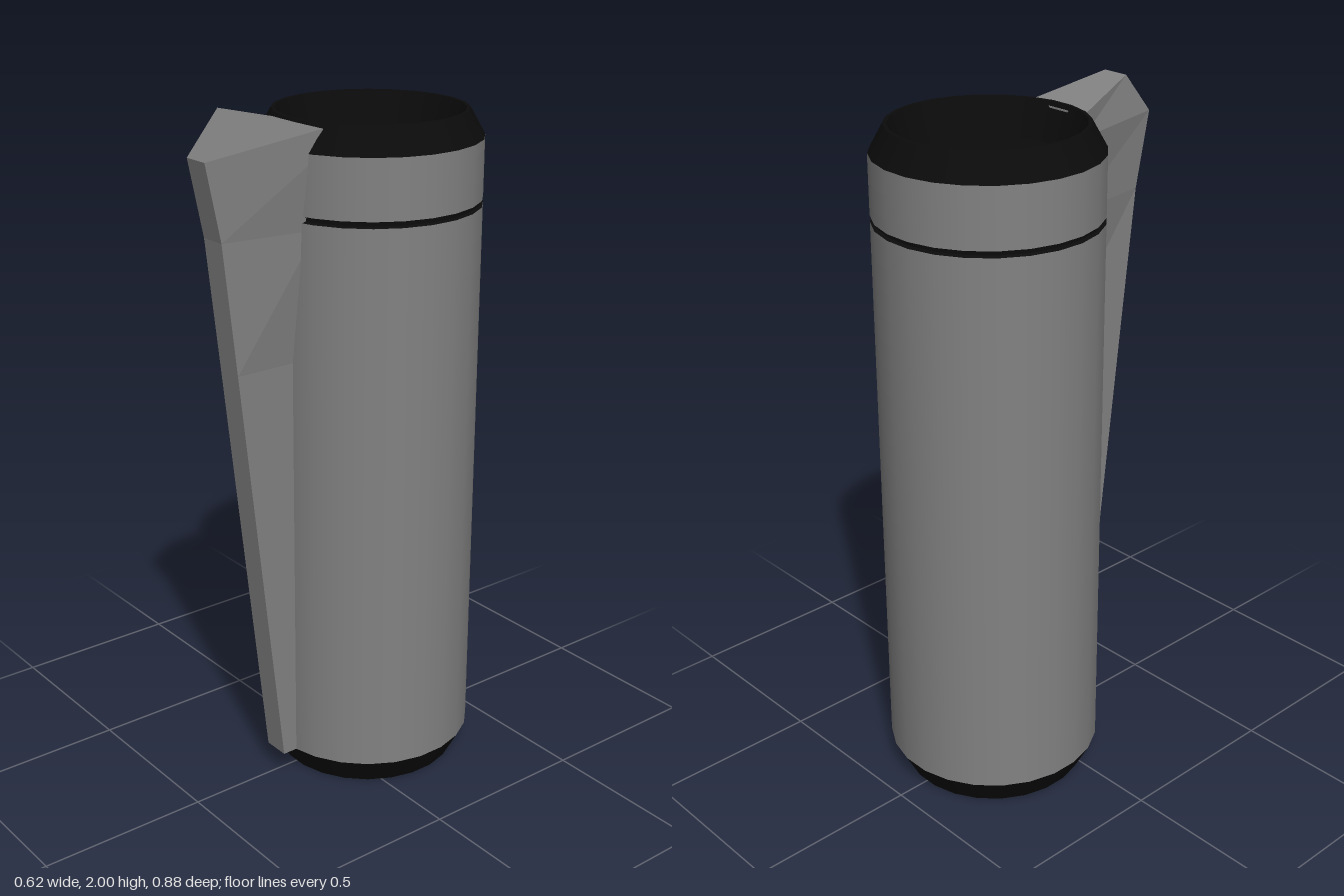
import * as THREE from 'three';

const metal = new THREE.MeshStandardMaterial({ color: 0x828282 });
metal.name = 'grey metal';
const black = new THREE.MeshStandardMaterial({ color: 0x0b0b0b });
black.name = 'black rubber';

// One band per straight profile step, so edges between bands stay sharp
function turned(name, profile, material) {
  const part = new THREE.Group();
  part.name = name;
  for (let i = 0; i + 1 < profile.length; i++) {
    const points = [profile[i], profile[i + 1]].map(([r, y]) => new THREE.Vector2(r, y));
    const band = new THREE.Mesh(new THREE.LatheGeometry(points, 24, Math.PI / 24), material);
    band.name = `${name}Band${i + 1}`;
    part.add(band);
  }
  return part;
}

// Tapering fin lofted through four-cornered sections
function makeFin() {
  // front y, front z, front half width, back y, back half width
  const sections = [
    [0.08, 0.222, 0.04, 0.08, 0.04],
    [1.30, 0.358, 0.04, 1.30, 0.04],
    [1.67, 0.400, 0.04, 1.67, 0.078],
    [1.885, 0.445, 0.04, 1.88, 0.104],
    [2.00, 0.348, 0.04, 1.942, 0.106],
  ];
  const backZ = 0.122;
  const positions = [];
  for (const [fy, fz, f, by, b] of sections) {
    positions.push(-f, fy, fz, f, fy, fz, b, by, backZ, -b, by, backZ);
  }
  const index = [0, 3, 2, 0, 2, 1];
  for (let s = 0; s + 1 < sections.length; s++) {
    for (let i = 0; i < 4; i++) {
      const a = s * 4 + i, b = s * 4 + (i + 1) % 4;
      index.push(a, b, b + 4, a, b + 4, a + 4);
    }
  }
  const t = (sections.length - 1) * 4;
  index.push(t, t + 1, t + 2, t, t + 2, t + 3);

  const indexed = new THREE.BufferGeometry();
  indexed.setAttribute('position', new THREE.Float32BufferAttribute(positions, 3));
  indexed.setIndex(index);
  const geometry = indexed.toNonIndexed();
  geometry.computeVertexNormals();
  // dark underside, grey elsewhere
  geometry.addGroup(0, 6, 1);
  geometry.addGroup(6, index.length - 6, 0);
  const fin = new THREE.Mesh(geometry, [metal, black]);
  fin.name = 'fin';
  fin.position.x = 0.01;
  return fin;
}

export function createModel() {
  const model = new THREE.Group();
  model.name = 'cylinderWithFin';

  const barrel = new THREE.Group();
  barrel.name = 'barrel';
  barrel.position.z = -0.13;
  barrel.add(
    // dished end caps
    turned('bottomCap', [[0, 0.09], [0.225, 0.09], [0.26, 0], [0.27, 0], [0.312, 0.08]], black),
    turned('topCap', [[0.312, 1.88], [0.27, 1.955], [0.26, 1.955], [0.225, 1.85], [0, 1.85]], black),
    // casing split by a narrow groove
    turned('casing', [[0.312, 0.08], [0.312, 1.695]], metal),
    turned('groove', [[0.312, 1.695], [0.302, 1.699], [0.302, 1.709], [0.312, 1.713]], black),
    turned('collar', [[0.312, 1.713], [0.312, 1.88]], metal),
  );

  model.add(barrel, makeFin());
  return model;
}
